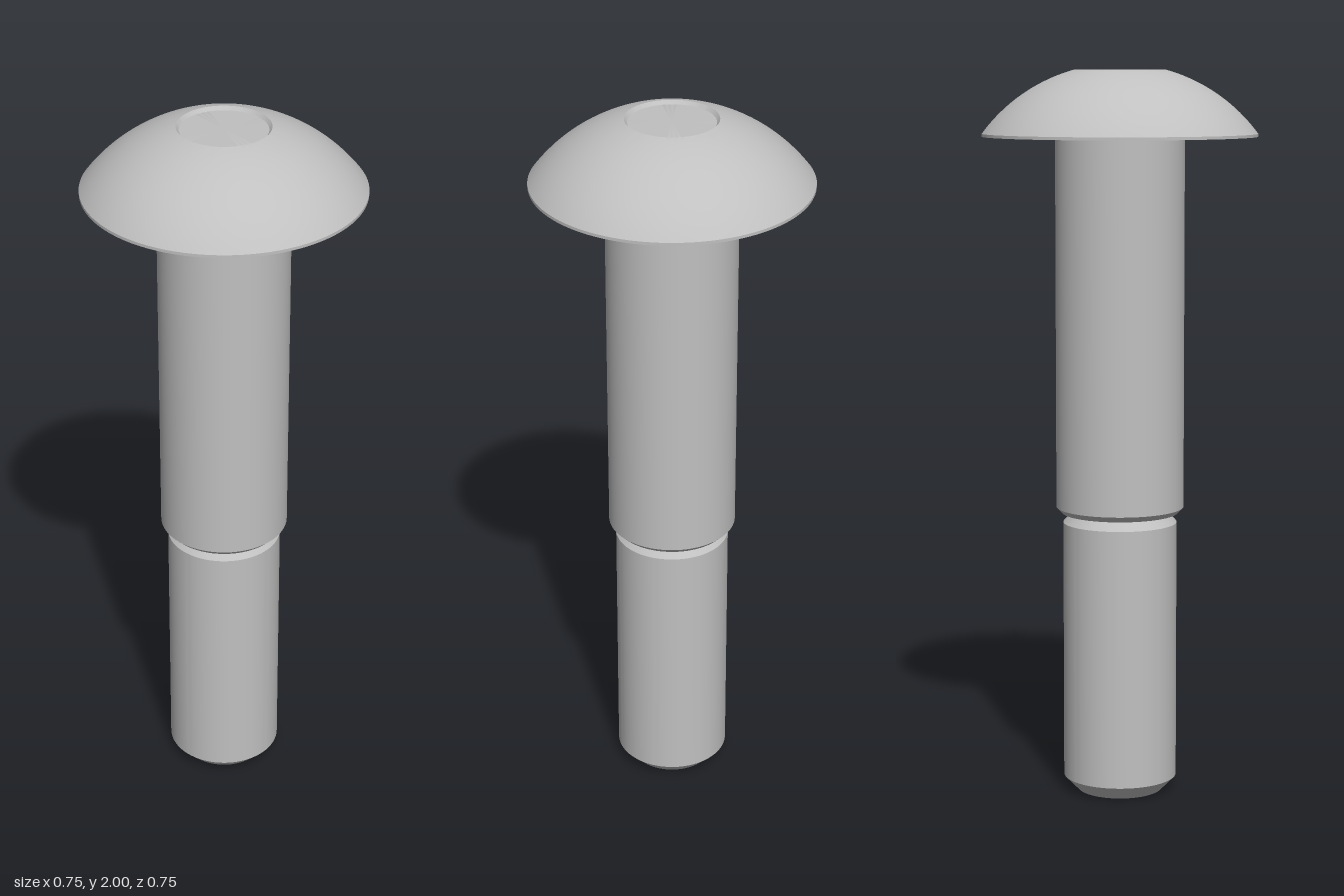
import * as THREE from 'three';
import { toCreasedNormals } from 'three/addons/utils/BufferGeometryUtils.js';

const SEGMENTS = 96;

export function createModel() {
  const model = new THREE.Group();
  model.name = 'roundHeadPin';
  const steel = new THREE.MeshStandardMaterial({ color: 0xc0c0c0 });
  steel.name = 'steel grey';

  // Turned part: [radius, height] pairs running upward along the outside
  const turned = (name, profile) => {
    const points = profile.map(([r, y]) => new THREE.Vector2(r, y));
    const geometry = new THREE.LatheGeometry(points, SEGMENTS);
    const mesh = new THREE.Mesh(toCreasedNormals(geometry, 0.3), steel);
    mesh.name = name;
    model.add(mesh);
  };

  // Lower shaft with a chamfered tip and a tapered top leading into the neck
  turned('lowerShaft', [[0, 0], [0.118, 0], [0.157, 0.04], [0.157, 0.76], [0.132, 0.787]]);

  // Upper shank with a small chamfer and a flat shoulder at the neck
  turned('upperShank', [[0.132, 0.787], [0.16, 0.787], [0.176, 0.803], [0.176, 1.82]]);

  // Domed head: flat underside, thin rim, spherical crown, shallow round recess
  const centreY = 1.55, radius = 0.466, steps = 20;
  const start = Math.asin(0.374 / radius), end = Math.asin(0.123 / radius);
  const head = [[0.176, 1.82], [0.374, 1.82]];
  for (let i = 0; i <= steps; i++) {
    const a = start + (end - start) * (i / steps);
    head.push([radius * Math.sin(a), centreY + radius * Math.cos(a)]);
  }
  head.push([0.115, 1.99], [0, 1.99]);
  turned('domedHead', head);

  return model;
}
